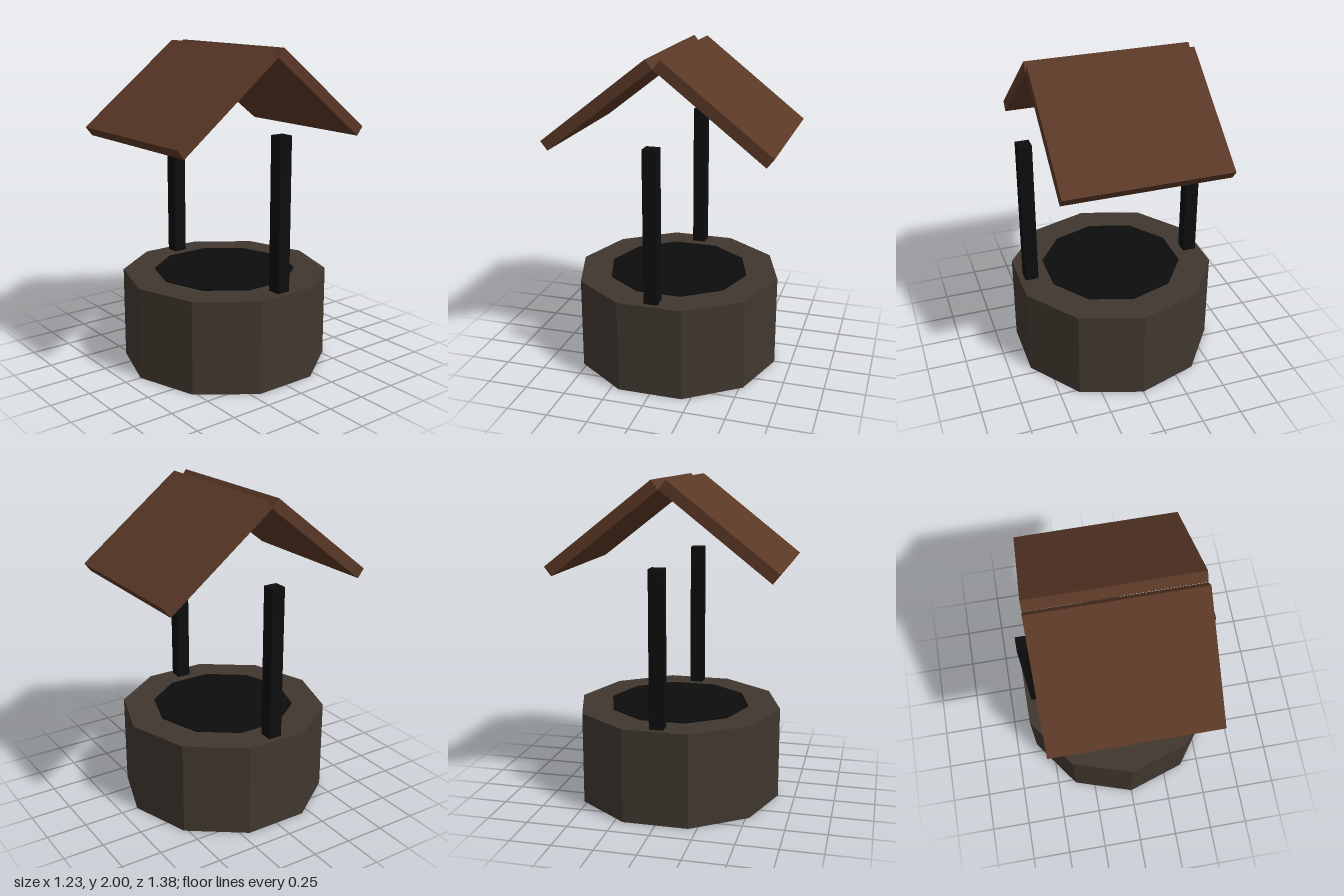
import * as THREE from 'three';

export function createModel() {
  const group = new THREE.Group();
  group.name = 'well';

  const material = (name, color) => {
    const m = new THREE.MeshStandardMaterial({ color, flatShading: true });
    m.name = name;
    return m;
  };
  const stone = material('stone', 0x40382f);
  const black = material('black', 0x0d0d0d);
  const wood = material('roof wood', 0x5a3826);

  const add = (name, geometry, mat, x, y, z) => {
    const mesh = new THREE.Mesh(geometry, mat);
    mesh.name = name;
    mesh.position.set(x, y, z);
    group.add(mesh);
    return mesh;
  };

  // Ten-sided stone base with a dark water disc lying on top
  add('stoneBase', new THREE.CylinderGeometry(0.645, 0.645, 0.578, 10), stone, 0, 0.289, 0);
  add('waterDisc', new THREE.CylinderGeometry(0.445, 0.445, 0.009, 10), black, 0, 0.581, 0);

  // Posts and sloping roof boards, mirrored in pairs
  const postGeometry = new THREE.BoxGeometry(0.084, 0.94, 0.084);
  const boardGeometry = new THREE.BoxGeometry(1.004, 0.069, 0.82);
  const slope = THREE.MathUtils.degToRad(38);
  for (const side of [1, -1]) {
    add(side > 0 ? 'leftPost' : 'rightPost', postGeometry, black, side * 0.538, 1.043, 0);
    const board = add(side > 0 ? 'frontRoofBoard' : 'backRoofBoard', boardGeometry, wood, 0, 1.72, side * 0.345);
    board.rotation.x = side * slope;
  }

  return group;
}
